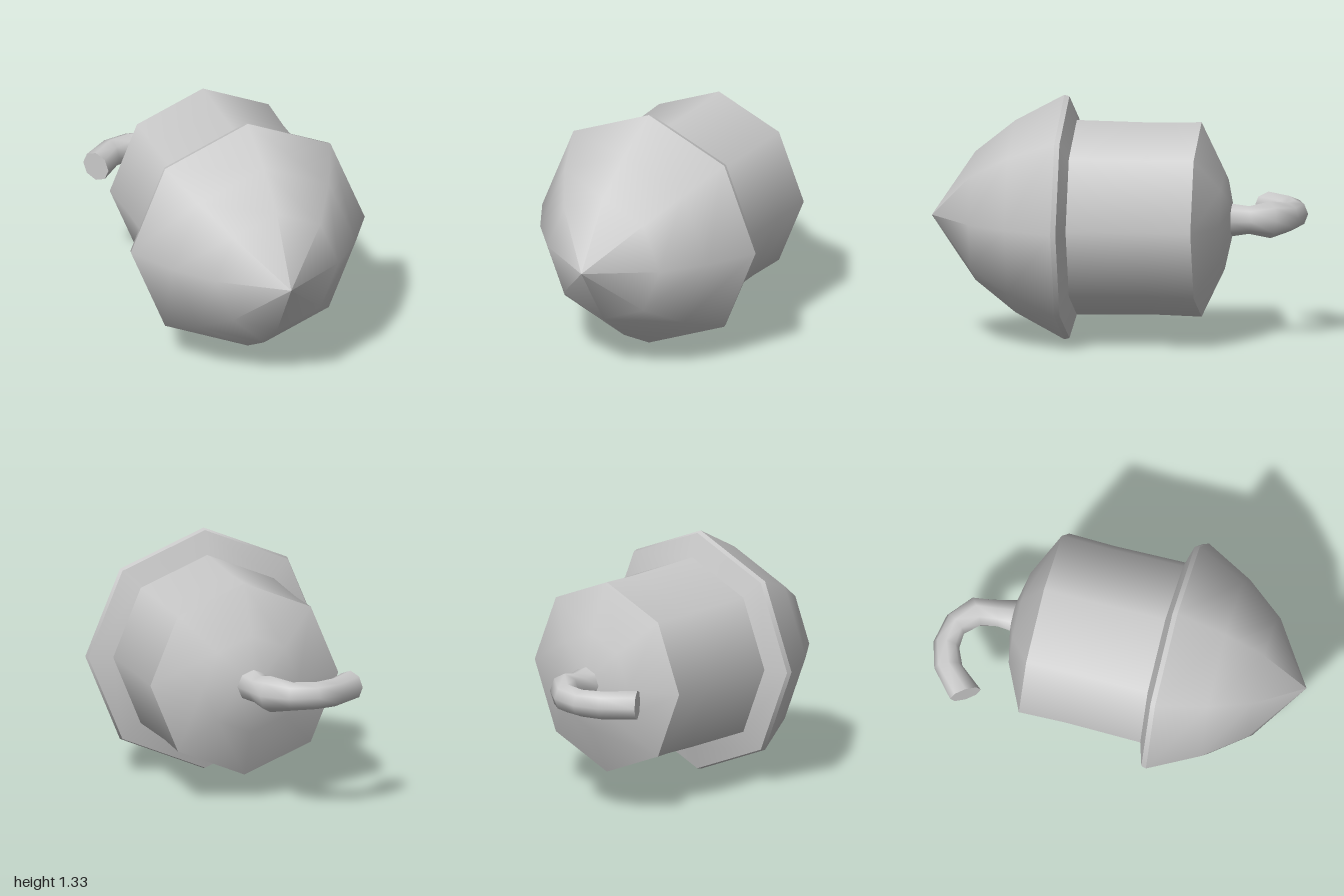
import * as THREE from 'three';

const SIDES = 8;
const AXIS_HEIGHT = 0.663;
const material = new THREE.MeshStandardMaterial({ color: 0xcccccc });

function addMesh(parent, name, geometry) {
  const mesh = new THREE.Mesh(geometry, material);
  mesh.name = name;
  parent.add(mesh);
}

// Eight-sided turned section along z; profile is [radius, z] from back to front
function turned(profile) {
  const points = profile.map(([r, z]) => new THREE.Vector2(r, z));
  return new THREE.LatheGeometry(points, SIDES).rotateX(Math.PI / 2);
}

// Hooked stem: each section gives its outer and inner edge in plan, and its vertical radius
function stemGeometry(sections) {
  const positions = [];
  const index = [];
  const addRing = ([ox, oz, ix, iz, ry]) => {
    for (let j = 0; j < SIDES; j++) {
      const a = (j / SIDES) * Math.PI * 2;
      const c = Math.cos(a) / 2;
      positions.push(
        (ox + ix) / 2 + (ox - ix) * c,
        ry * Math.sin(a),
        (oz + iz) / 2 + (oz - iz) * c
      );
    }
  };
  sections.forEach(addRing);
  for (let i = 0; i < sections.length - 1; i++) {
    for (let j = 0; j < SIDES; j++) {
      const a = i * SIDES + j;
      const b = i * SIDES + ((j + 1) % SIDES);
      index.push(a, a + SIDES, b, b, a + SIDES, b + SIDES);
    }
  }
  // Flat end cap with its own vertices so its rim stays sharp
  const cap = sections.length * SIDES;
  addRing(sections[sections.length - 1]);
  for (let j = 1; j < SIDES - 1; j++) index.push(cap, cap + j + 1, cap + j);

  const geometry = new THREE.BufferGeometry();
  geometry.setAttribute('position', new THREE.Float32BufferAttribute(positions, 3));
  geometry.setIndex(index);
  geometry.computeVertexNormals();
  return geometry;
}

export function createModel() {
  const model = new THREE.Group();
  model.name = 'acorn';
  const body = new THREE.Group();
  body.name = 'body';
  body.position.y = AXIS_HEIGHT;
  model.add(body);

  // Pointed front and its thin rim
  addMesh(body, 'nose', turned([[0.663, 0.285], [0.52, 0.55], [0.348, 0.765], [0, 1]]));
  addMesh(body, 'rim', turned([[0.655, 0.258], [0.663, 0.285]]));
  addMesh(body, 'rimBack', turned([[0.527, 0.218], [0.655, 0.258]]));

  // Slightly waisted barrel and domed back
  addMesh(body, 'barrel', turned([[0.527, -0.455], [0.52, -0.2], [0.527, 0.218]]));
  addMesh(body, 'backDome', turned([[0, -0.62], [0.09, -0.62], [0.267, -0.58], [0.527, -0.455]]));

  // Hooked stem
  addMesh(body, 'stem', stemGeometry([
    [0.09, -0.62, -0.09, -0.62, 0.088],
    [0.063, -0.73, -0.083, -0.69, 0.075],
    [0.037, -0.865, -0.1, -0.78, 0.1],
    [-0.09, -0.968, -0.17, -0.853, 0.078],
    [-0.255, -1, -0.255, -0.857, 0.075],
    [-0.4, -0.957, -0.348, -0.815, 0.078],
    [-0.548, -0.83, -0.455, -0.685, 0.08],
  ]));

  return model;
}
